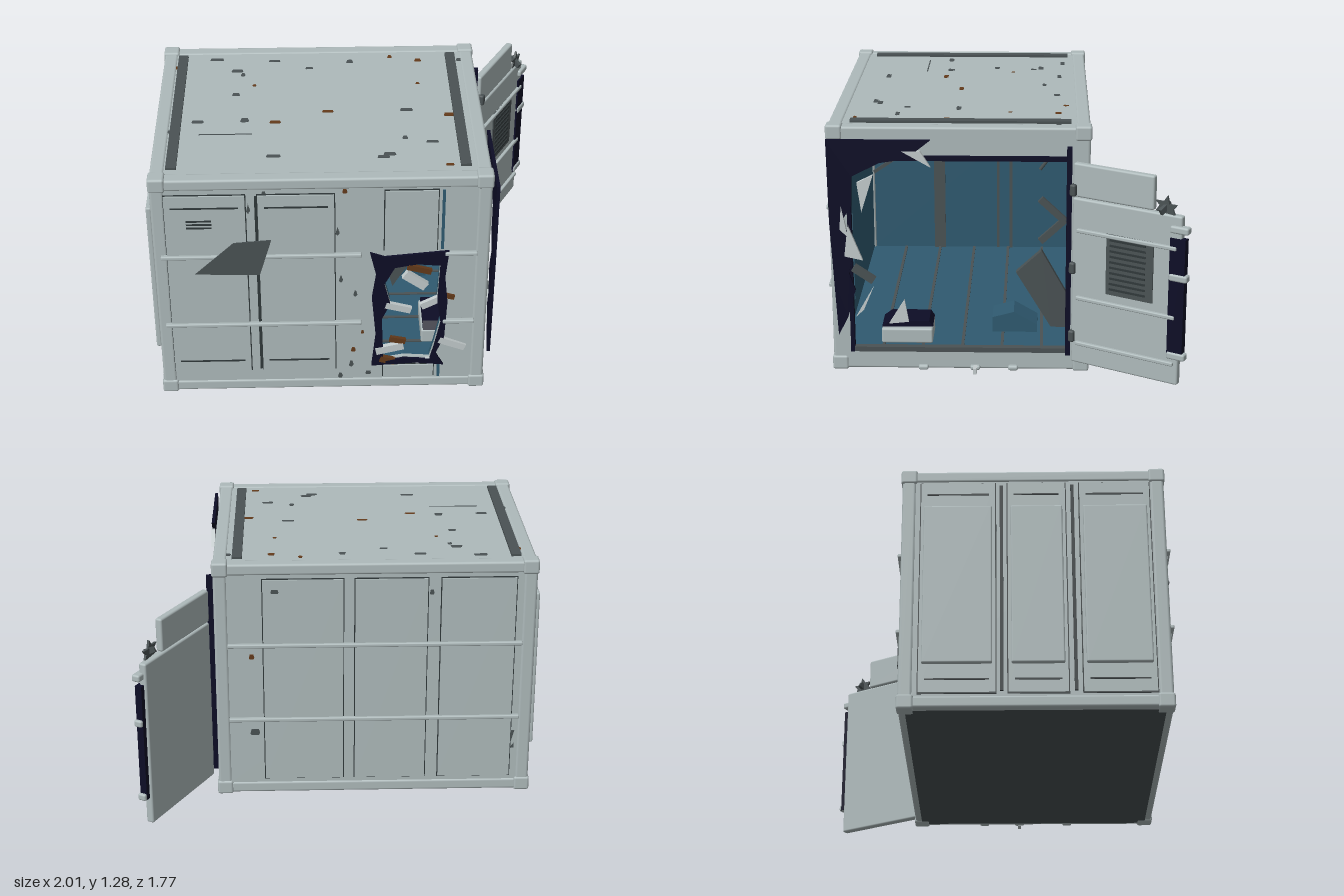
import * as THREE from 'three';
import { RoundedBoxGeometry } from 'three/addons/geometries/RoundedBoxGeometry.js';

const M = {};
for (const [name, hex] of Object.entries({
  shell: 0xaebabb, darkGrey: 0x4a5254, seam: 0x30383a, navy: 0x0d0d26,
  innerBlue: 0x2f5a70, rust: 0x643a1a, shard: 0xc4cccd,
})) {
  M[name] = new THREE.MeshStandardMaterial({ color: hex, side: THREE.DoubleSide });
  M[name].name = name;
}

function add(parent, name, geo, mat) {
  const m = new THREE.Mesh(geo, M[mat]);
  m.name = name;
  parent.add(m);
  return m;
}
// box given by its limits; r > 0 rounds the edges
function box(parent, name, mat, x0, x1, y0, y1, z0, z1, r = 0) {
  const s = [x1 - x0, y1 - y0, z1 - z0];
  const geo = r ? new RoundedBoxGeometry(...s, 2, r) : new THREE.BoxGeometry(...s);
  const m = add(parent, name, geo, mat);
  m.position.set((x0 + x1) / 2, (y0 + y1) / 2, (z0 + z1) / 2);
  return m;
}
const vecs = (pts) => pts.map((p) => new THREE.Vector2(p[0], p[1]));
// flat cut-out plate in the local xy plane
function plate(parent, name, mat, pts, z, depth, hole) {
  const s = new THREE.Shape(vecs(pts));
  if (hole) s.holes.push(new THREE.Path(vecs(hole)));
  const m = add(parent, name, new THREE.ExtrudeGeometry(s, { depth, bevelEnabled: false }), mat);
  m.position.z = z;
  return m;
}
const rect = (a, b, c, d) => [[a, c], [b, c], [b, d], [a, d]];
// tilted bar: centre, length, thickness, roll and yaw
function bar(parent, name, mat, x, y, z, len, w, roll, yaw = 0) {
  const m = add(parent, name, new THREE.BoxGeometry(len, w, w * 0.6), mat);
  m.position.set(x, y, z);
  m.rotation.set(0, yaw, roll);
  return m;
}
// side of the container: local z points outward from the skin
function face(root, name, x, z, rotY) {
  const g = new THREE.Group();
  g.name = name;
  g.position.set(x, 0, z);
  g.rotation.y = rotY;
  root.add(g);
  return g;
}
function panel(g, u0, u1, v0, v1, trims = true) {
  box(g, 'panelSeam', 'seam', u0 - 0.005, u1 + 0.005, v0 - 0.005, v1 + 0.005, 0, 0.004);
  box(g, 'panel', 'shell', u0, u1, v0, v1, 0, 0.012);
  if (trims) for (const v of [v0 + 0.065, v1 - 0.065])
    box(g, 'panelTrim', 'seam', u0 + 0.03, u1 - 0.03, v - 0.004, v + 0.004, 0.012, 0.015);
}
function rail(g, u0, u1, v) {
  box(g, 'rail', 'shell', u0, u1, v - 0.01, v + 0.01, 0.0, 0.026, 0.006);
}
function spots(g, list, z) {
  list.forEach(([u, v, w, h, mat]) => {
    const k = h * 0.4;
    plate(g, 'wornSpot', mat || 'darkGrey', [[u - w, v - h + k], [u - w + k, v - h], [u + w - k, v - h],
      [u + w, v - k], [u + w - k, v + h], [u - w + k, v + h]], z, 0.003);
  });
}

function buildFrame(root) {
  const X = [-0.93, 0.61], Z = [-0.39, 0.82], Y = [0.037, 1.243];
  for (const x of X) for (const z of Z) {
    box(root, 'cornerPost', 'shell', x - 0.034, x + 0.034, 0.03, 1.25, z - 0.034, z + 0.034, 0.014);
    for (const y of Y)
      box(root, 'cornerCasting', 'shell', x - 0.04, x + 0.04, y - 0.037, y + 0.037, z - 0.04, z + 0.04, 0.012);
  }
  for (const y of Y) {
    for (const z of Z) box(root, 'longBeam', 'shell', -0.9, 0.58, y - 0.03, y + 0.028, z - 0.034, z + 0.034, 0.012);
    for (const x of X) box(root, 'crossBeam', 'shell', x - 0.034, x + 0.034, y - 0.03, y + 0.028, -0.36, 0.8, 0.012);
  }
  // roof, underside and floor
  box(root, 'roof', 'shell', -0.93, 0.61, 1.17, 1.266, -0.4, 0.83);
  box(root, 'underside', 'darkGrey', -0.93, 0.61, 0.004, 0.04, -0.39, 0.82);
  box(root, 'floor', 'innerBlue', -0.92, 0.62, 0.04, 0.1, -0.39, 0.8);
  box(root, 'ceiling', 'innerBlue', -0.92, 0.61, 1.13, 1.17, -0.39, 0.8);
  for (const x of [-0.865, 0.525]) box(root, 'roofStrip', 'darkGrey', x - 0.025, x + 0.025, 1.266, 1.278, -0.33, 0.75);
  for (let i = 0; i < 5; i++) box(root, 'floorRib', 'darkGrey', -0.9, 0.6, 0.1, 0.106, -0.2 + i * 0.2, -0.185 + i * 0.2);
  const top = face(root, 'roofWear', 0, 0, 0);
  top.rotation.x = -Math.PI / 2;
  const r = 'rust';
  spots(top, [[-0.69, 0.3, 0.035, 0.012], [-0.58, 0.18, 0.03, 0.014], [-0.55, 0.14, 0.012, 0.015], [-0.39, 0.28, 0.03, 0.01],
    [-0.21, 0.2, 0.02, 0.01], [0, 0.265, 0.018, 0.016], [0.21, 0.31, 0.012, 0.014, r], [0.355, 0.27, 0.018, 0.015, r],
    [-0.9, 0.22, 0.012, 0.014, r], [0.59, 0.27, 0.035, 0.013], [-0.58, -0.06, 0.02, 0.014], [-0.49, 0.03, 0.01, 0.009, r],
    [0.34, 0.03, 0.01, 0.009, r], [-0.76, -0.32, 0.03, 0.013], [-0.905, -0.41, 0.035, 0.012], [-0.53, -0.31, 0.022, 0.018],
    [-0.38, -0.33, 0.028, 0.012, r], [-0.12, -0.235, 0.028, 0.011, r], [0.27, -0.23, 0.032, 0.012], [0.48, -0.28, 0.028, 0.014, r],
    [0.25, -0.49, 0.014, 0.015], [0.38, -0.53, 0.03, 0.01], [0.17, -0.635, 0.03, 0.013], [0.14, -0.66, 0.03, 0.011],
    [-0.385, -0.64, 0.035, 0.012], [0.45, -0.735, 0.02, 0.008, r], [-0.62, -0.44, 0.13, 0.003]], 1.265);
}

function buildFront(root) {
  const g = face(root, 'frontSide', 0, 0.848, 0);
  const hole = [[0.19, 0.76], [0.3, 0.78], [0.41, 0.77], [0.4, 0.55], [0.42, 0.42], [0.39, 0.27], [0.37, 0.19],
    [0.24, 0.2], [0.14, 0.18], [0.13, 0.45], [0.17, 0.54], [0.14, 0.66]];
  plate(g, 'frontWall', 'shell', rect(-0.93, 0.61, 0.04, 1.24), -0.02, 0.02, hole);
  plate(g, 'frontLining', 'innerBlue', rect(-0.91, 0.6, 0.1, 1.13), -0.05, 0.03, hole);
  plate(g, 'tornHoleEdge', 'navy', [[0.07, 0.85], [0.14, 0.825], [0.45, 0.855], [0.435, 0.7], [0.45, 0.55], [0.44, 0.33],
    [0.4, 0.23], [0.44, 0.155], [0.3, 0.17], [0.08, 0.155], [0.1, 0.35], [0.08, 0.58], [0.1, 0.72]], 0.005, 0.012, hole);
  panel(g, -0.9, -0.52, 0.135, 1.185);
  panel(g, -0.46, -0.1, 0.135, 1.185);
  panel(g, 0.14, 0.39, 0.86, 1.2, false);
  panel(g, 0.14, 0.39, 0.08, 0.15, false);
  for (const [a, b] of [[0.86, 1.2], [0.07, 0.15]]) box(g, 'blueGap', 'innerBlue', 0.41, 0.424, a, b, 0, 0.005);
  box(g, 'gapStrip', 'seam', -0.475, -0.465, 0.14, 1.18, 0, 0.006);
  for (const v of [0.84, 0.43]) { rail(g, -0.93, 0.03, v); rail(g, 0.43, 0.585, v); }
  for (let i = 0; i < 3; i++) box(g, 'ventSlot', 'seam', -0.8, -0.68, 1.005 + i * 0.019, 1.013 + i * 0.019, 0.012, 0.016);
  plate(g, 'scorchPatch', 'darkGrey', [[-0.77, 0.75], [-0.58, 0.93], [-0.4, 0.945], [-0.46, 0.74]], 0.026, 0.004);
  const r = 'rust';
  spots(g, [[-0.05, 1.2, 0.012, 0.012, r], [-0.085, 0.97, 0.01, 0.022], [-0.07, 0.69, 0.01, 0.02], [0, 0.6, 0.01, 0.018],
    [0.035, 0.36, 0.008, 0.01, r], [-0.01, 0.25, 0.012, 0.014, r], [-0.02, 0.16, 0.012, 0.018], [-0.075, 0.085, 0.012, 0.014],
    [0.065, 0.1, 0.014, 0.01], [-0.505, 1.11, 0.01, 0.03], [-0.43, 1.19, 0.012, 0.015]], 0.001);
  // splinters around the hole
  [['shard', 0.29, 0.68, 0.13, 0.045, -0.65], ['rust', 0.31, 0.745, 0.12, 0.03, -0.3], ['shard', 0.38, 0.55, 0.13, 0.035, 0.45],
    ['rust', 0.45, 0.58, 0.07, 0.025, -0.3], ['shard', 0.21, 0.515, 0.13, 0.035, -0.3], ['shard', 0.17, 0.26, 0.14, 0.04, 0.2],
    ['rust', 0.21, 0.31, 0.08, 0.03, -0.25], ['shard', 0.48, 0.285, 0.14, 0.035, -0.4], ['rust', 0.16, 0.185, 0.08, 0.035, -0.3],
    ['shard', 0.36, 0.18, 0.12, 0.025, 0.1]]
    .forEach(([m, x, y, l, w, a]) => bar(g, 'splinter', m, x, y, 0.006, l, w, a, 0.05));
  plate(g, 'bentFlap', 'darkGrey', [[0.15, 0.75], [0.25, 0.76], [0.18, 0.64]], -0.005, 0.005);
}

function buildBackAndEnd(root) {
  const b = face(root, 'backSide', 0, -0.418, Math.PI);
  box(b, 'backWall', 'shell', -0.61, 0.93, 0.04, 1.24, -0.02, 0);
  box(b, 'backLining', 'innerBlue', -0.6, 0.91, 0.1, 1.13, -0.05, -0.02);
  for (const [u0, u1] of [[-0.4, 0], [0.06, 0.42], [0.49, 0.86]]) panel(b, u0, u1, 0.09, 1.19, false);
  for (const v of [0.84, 0.43]) {
    rail(b, -0.58, 0.9, v);
    box(b, 'innerRib', 'darkGrey', -0.6, 0.9, v - 0.012, v + 0.012, -0.062, -0.05);
  }
  spots(b, [[-0.46, 0.78, 0.014, 0.012, 'rust'], [-0.45, 0.36, 0.025, 0.016], [0.44, 1.12, 0.012, 0.012],
    [-0.34, 1.13, 0.02, 0.01], [0.87, 0.3, 0.01, 0.05]], 0.012);
  const e = face(root, 'closedEnd', -0.958, 0, -Math.PI / 2);
  box(e, 'endWall', 'shell', -0.39, 0.82, 0.04, 1.24, -0.02, 0);
  box(e, 'endLining', 'innerBlue', -0.38, 0.8, 0.1, 1.13, -0.05, -0.02);
  for (const [u0, u1] of [[-0.33, 0.03], [0.09, 0.37], [0.44, 0.78]]) {
    panel(e, u0, u1, 0.08, 1.2);
    box(e, 'panelFace', 'shell', u0 + 0.015, u1 - 0.015, 0.22, 1.06, 0.012, 0.038, 0.008);
  }
  for (const u of [0.06, 0.405]) box(e, 'endGap', 'seam', u - 0.008, u + 0.008, 0.09, 1.19, 0, 0.008);
  box(e, 'innerRib', 'darkGrey', 0.375, 0.44, 0.1, 1.13, -0.06, -0.05);
  for (const u of [-0.01, 0.065]) box(e, 'innerRib', 'darkGrey', u - 0.008, u + 0.008, 0.1, 1.13, -0.06, -0.05);
}

function buildOpenEnd(root) {
  // local u runs toward the back
  const g = face(root, 'openEnd', 0.644, 0, Math.PI / 2);
  plate(g, 'endFrame', 'shell', rect(-0.82, 0.39, 0.035, 1.24), -0.045, 0.045, rect(-0.765, 0.33, 0.1, 1.12));
  plate(g, 'tornEdge', 'navy', [[-0.855, 1.215], [-0.35, 1.215], [-0.47, 1.12], [-0.6, 1.1], [-0.735, 1.03], [-0.74, 0.88],
    [-0.79, 0.8], [-0.73, 0.68], [-0.76, 0.53], [-0.73, 0.44], [-0.77, 0.3], [-0.82, 0.2], [-0.835, 0.5], [-0.85, 0.8]], 0.018, 0.016);
  box(g, 'sealSide', 'navy', 0.31, 0.335, 0.1, 1.18, -0.02, 0.036);
  box(g, 'sealTop', 'navy', -0.6, 0.33, 1.105, 1.13, -0.02, 0.012);
  box(g, 'sealFrontSide', 'navy', -0.765, -0.745, 0.1, 1.12, -0.03, 0.008);
  box(g, 'sill', 'darkGrey', -0.76, 0.32, 0.1, 0.125, -0.03, 0.006);
  for (const u of [-0.4, -0.14, 0.05]) box(g, 'sillKnob', 'shell', u - 0.025, u + 0.025, 0.01, 0.035, 0, 0.03, 0.01);
  bar(g, 'looseChip', 'shard', -0.14, 0.022, 0.045, 0.05, 0.03, 0, Math.PI / 2);
  // glassy splinters along the torn edge
  [[[-0.35, 1.08], [-0.49, 1.16], [-0.4, 1.16]], [[-0.71, 1.0], [-0.63, 1.04], [-0.69, 0.85]], [[-0.76, 0.78], [-0.69, 0.6], [-0.78, 0.62]],
    [[-0.73, 0.3], [-0.64, 0.46], [-0.69, 0.34]], [[-0.79, 0.88], [-0.76, 0.72], [-0.8, 0.76]]]
    .forEach((p) => plate(g, 'glassSplinter', 'shard', p, 0.02, 0.018));
  bar(g, 'bentStrip', 'darkGrey', -0.69, 0.52, 0.01, 0.12, 0.04, -0.6);
  bar(g, 'bentStrip', 'darkGrey', -0.56, 1.09, 0.0, 0.16, 0.016, 0.6);
  // debris inside
  plate(g, 'leaningPanel', 'darkGrey', [[0.06, 0.41], [0.19, 0.53], [0.34, 0.26], [0.32, 0.11], [0.24, 0.11]], -0.35, 0.04);
  for (const a of [0.75, -0.75])
    bar(g, 'brokenBrace', 'darkGrey', 0.245, 0.695 + (a < 0 ? 0.06 : -0.05), -0.3, 0.17, 0.035, a);
  plate(g, 'blueBlock', 'innerBlue', [[-0.06, 0.11], [0.17, 0.11], [0.17, 0.15], [0.05, 0.22], [-0.06, 0.19]], -0.4, 0.16);
  box(g, 'looseCrate', 'shell', -0.62, -0.36, 0.1, 0.18, -0.3, -0.1, 0.01);
  plate(g, 'crateTop', 'navy', [[-0.62, 0.18], [-0.36, 0.18], [-0.38, 0.21], [-0.58, 0.21]], -0.29, 0.16);
  plate(g, 'crateSplinter', 'shard', [[-0.58, 0.21], [-0.5, 0.34], [-0.48, 0.22]], -0.11, 0.015);
  const cable = new THREE.CatmullRomCurve3([[0.22, 1.11], [0.225, 1.04], [0.18, 0.97]].map(([u, v]) => new THREE.Vector3(u, v, -0.3)));
  add(g, 'hangingCable', new THREE.TubeGeometry(cable, 10, 0.009, 6), 'darkGrey');
}

function buildDoor(root) {
  const g = face(root, 'openDoor', 0.69, -0.345, 1.062);
  box(g, 'doorLeaf', 'shell', 0, 0.58, 0.08, 0.94, -0.025, 0.015, 0.01);
  box(g, 'doorUpperLeaf', 'shell', 0, 0.43, 0.945, 1.115, -0.025, 0.012, 0.01);
  panel(g, 0.03, 0.39, 0.965, 1.09, false);
  for (const v of [0.19, 0.43, 0.78]) box(g, 'doorRail', 'shell', 0.03, 0.56, v - 0.01, v + 0.01, 0.01, 0.032, 0.006);
  box(g, 'doorVent', 'darkGrey', 0.19, 0.44, 0.48, 0.79, 0.012, 0.021);
  for (let i = 0; i < 10; i++) box(g, 'ventSlat', 'seam', 0.21, 0.4, 0.505 + i * 0.028, 0.515 + i * 0.028, 0.021, 0.026);
  box(g, 'doorSeal', 'navy', 0.525, 0.605, 0.22, 0.83, -0.012, 0.024);
  for (const v of [0.235, 0.635, 0.875]) box(g, 'latch', 'shell', 0.525, 0.62, v - 0.018, v + 0.018, -0.012, 0.032, 0.01);
  for (const v of [0.22, 0.58, 0.98]) box(g, 'hinge', 'darkGrey', -0.01, 0.022, v - 0.03, v + 0.03, -0.02, 0.034, 0.01);
  plate(g, 'doorShard', 'darkGrey', [[0.44, 0.95], [0.46, 0.98], [0.44, 1.0], [0.48, 1.0], [0.5, 1.03], [0.51, 0.99],
    [0.55, 0.99], [0.53, 0.965], [0.54, 0.94]], 0, 0.012);
  bar(g, 'doorShardBent', 'darkGrey', 0.49, 0.97, 0.01, 0.07, 0.03, 0.5, 1.2);
}

export function createModel() {
  const root = new THREE.Group();
  root.name = 'damagedContainer';
  buildFrame(root);
  buildFront(root);
  buildBackAndEnd(root);
  buildOpenEnd(root);
  buildDoor(root);
  return root;
}
